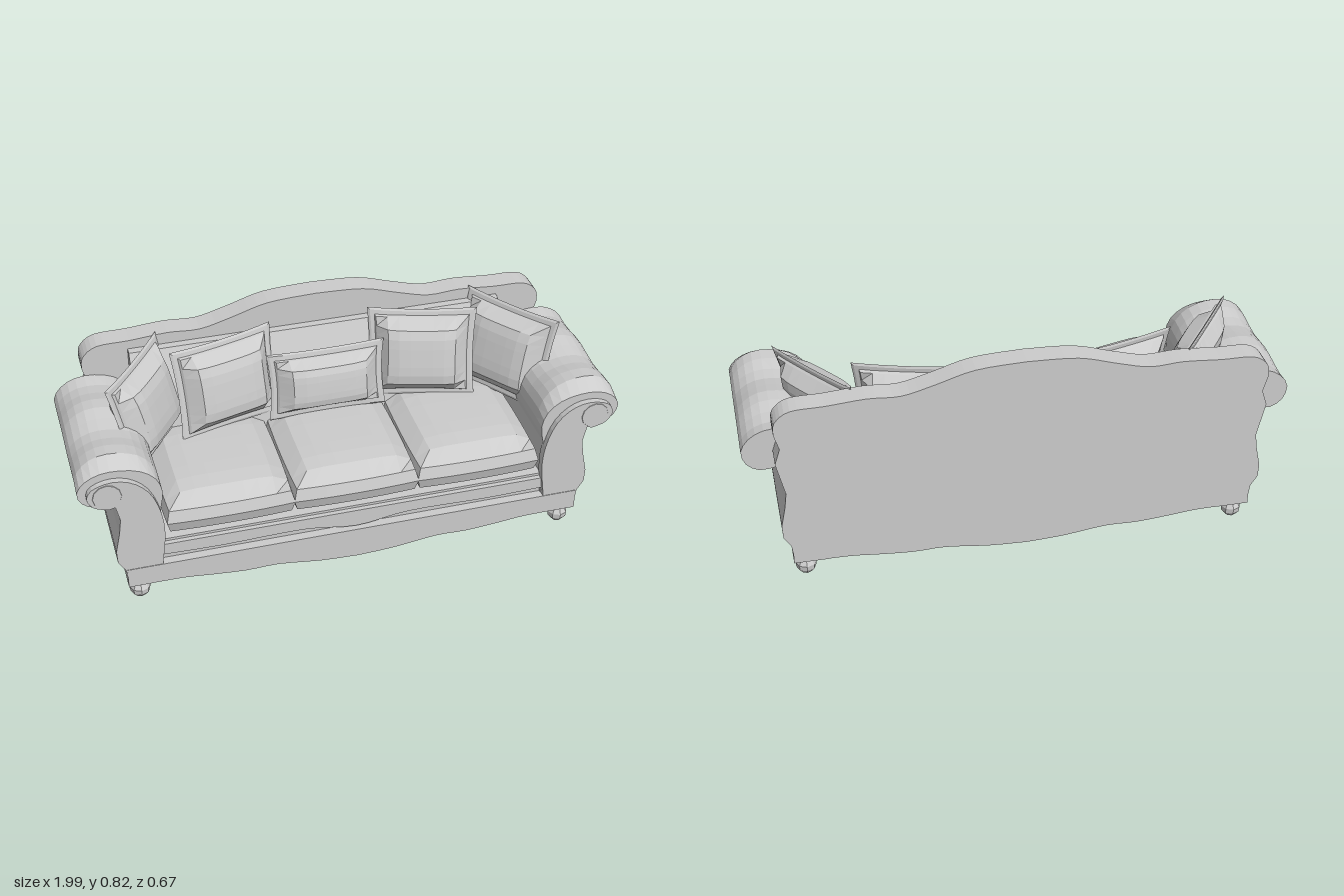
import * as THREE from 'three';

const fabric = new THREE.MeshStandardMaterial({ color: 0xcccccc, flatShading: true, side: THREE.DoubleSide });

function add(parent, name, geometry) {
  const mesh = new THREE.Mesh(geometry, fabric);
  mesh.name = name;
  parent.add(mesh);
  return mesh;
}

// Outline in x/y, extruded from z0 to z1
function slab(points, z0, z1, steps = 1) {
  const shape = new THREE.Shape(points.map(([x, y]) => new THREE.Vector2(x, y)));
  const geometry = new THREE.ExtrudeGeometry(shape, { depth: z1 - z0, steps, bevelEnabled: false });
  return geometry.translate(0, 0, z0);
}

// Smooth run of points through a few guides
function smooth(points, n) {
  return new THREE.SplineCurve(points.map(([x, y]) => new THREE.Vector2(x, y)))
    .getPoints(n).map((p) => [p.x, p.y]);
}

const mirrored = (points) => points.map(([x, y]) => [-x, y]).reverse();

// Stuffed cushion: thickness falls off to the rim, sides pull in or corners stick out
function cushion(w, h, t, rim, pinch) {
  const geometry = new THREE.BoxGeometry(2, 2, 2, 8, 8, 2);
  const p = geometry.attributes.position;
  for (let i = 0; i < p.count; i++) {
    const u = p.getX(i), v = p.getY(i), s = p.getZ(i);
    const puff = rim + (1 - rim) * Math.sqrt((1 - u ** 4) * (1 - v ** 4));
    const inset = 1 - 0.05 * s * s;
    p.setXYZ(i,
      u * w / 2 * inset * (1 - pinch * (1 - v * v)),
      v * h / 2 * inset * (1 - pinch * (1 - u * u)),
      s * t / 2 * puff);
  }
  return geometry;
}

// Throw pillow with a thin flange around its seam
function pillow(parent, name, w, h, t, position, lean, turn) {
  const group = new THREE.Group();
  group.name = name;
  add(group, 'pillowFill', cushion(w, h, t, 0.2, 0.03));
  add(group, 'pillowFlange', cushion(w + 0.05, h + 0.05, 0.015, 0.6, 0.05));
  group.position.set(...position);
  group.rotation.set(lean, turn, 0, 'YXZ');
  parent.add(group);
}

export function createModel() {
  const sofa = new THREE.Group();
  sofa.name = 'sofa';

  // Base with a scalloped lower edge
  const skirt = smooth([[0, 0.035], [0.14, 0.042], [0.3, 0.062], [0.42, 0.06], [0.55, 0.07], [0.66, 0.08], [0.85, 0.08]], 18);
  const sideWave = [[0.85, 0.08], [0.85, 0.12], [0.855, 0.16], [0.88, 0.2], [0.882, 0.25], [0.865, 0.33], [0.857, 0.39], [0.87, 0.45]];
  add(sofa, 'base', slab([...mirrored(skirt), ...skirt.slice(1), [0.85, 0.16], [-0.85, 0.16]], -0.335, 0.335));

  // Seat deck and its draped front edge
  add(sofa, 'seatDeck', new THREE.BoxGeometry(1.5, 0.1, 0.56)).position.set(0, 0.195, 0.02);
  const drape = smooth([[-0.72, 0.19], [-0.5, 0.185], [-0.2, 0.19], [0, 0.165], [0.2, 0.19], [0.5, 0.185], [0.72, 0.19]], 24);
  add(sofa, 'deckDrape', slab([...drape, [0.72, 0.235], [-0.72, 0.235]], 0.29, 0.318));

  // Camel back with wavy sides
  const crest = smooth([[0.882, 0.64], [0.875, 0.69], [0.82, 0.73], [0.7, 0.735], [0.56, 0.745], [0.44, 0.74],
    [0.32, 0.77], [0.18, 0.81], [0, 0.82]], 32);
  const backSide = [...skirt, ...sideWave.slice(1), [0.885, 0.52], [0.865, 0.58], ...crest];
  add(sofa, 'backPanel', slab([...backSide, ...mirrored(backSide).slice(1, -1)], -0.335, -0.25));

  // Sloped padding in front of the back
  const padding = new THREE.BoxGeometry(1.42, 0.5, 0.1, 12, 4, 1);
  const pp = padding.attributes.position;
  for (let i = 0; i < pp.count; i++) {
    const up = pp.getY(i) / 0.5 + 0.5;
    if (pp.getZ(i) > 0) pp.setZ(i, 0.1 - 0.11 * up * up);
  }
  add(sofa, 'backPadding', padding).position.set(0, 0.45, -0.21);

  const rollTop = smooth([[0.71, 0.4], [0.7, 0.47], [0.72, 0.54], [0.77, 0.59], [0.84, 0.612], [0.91, 0.61],
    [0.965, 0.58], [0.995, 0.53], [0.98, 0.475], [0.935, 0.445], [0.88, 0.45]], 20);
  const scrollTop = smooth([[0.72, 0.17], [0.705, 0.3], [0.715, 0.4], [0.75, 0.49], [0.81, 0.545], [0.88, 0.56],
    [0.945, 0.54], [0.965, 0.5], [0.94, 0.46], [0.89, 0.445]], 24);

  for (const s of [-1, 1]) {
    const side = s > 0 ? 'left' : 'right';
    const flip = (points) => points.map(([x, y]) => [s * x, y]);

    // Wavy arm wall
    add(sofa, side + 'ArmWall', slab(flip([[0.72, 0.08], ...sideWave, [0.71, 0.45]]), -0.335, 0.31));

    // Rolled arm top, gently lumpy along its length
    const roll = slab(flip(rollTop), -0.25, 0.31, 10);
    const rp = roll.attributes.position;
    for (let i = 0; i < rp.count; i++) {
      const z = rp.getZ(i), y = rp.getY(i);
      const lump = 0.01 * Math.cos((z - 0.24) * 22) - (z > 0.3 ? 0.025 : 0);
      rp.setY(i, y + lump * Math.max(0, (y - 0.45) / 0.16));
    }
    add(sofa, side + 'ArmRoll', roll);

    // Scrolled front face of the arm and its raised disc
    add(sofa, side + 'ArmFront', slab(flip([[0.72, 0.08], ...sideWave, ...[...scrollTop].reverse()]), 0.3, 0.333));
    const disc = add(sofa, side + 'ArmScroll', new THREE.CylinderGeometry(0.05, 0.06, 0.02, 12));
    disc.rotation.x = Math.PI / 2;
    disc.position.set(s * 0.895, 0.5, 0.325);

    // Bun feet
    for (const z of [0.285, -0.28]) {
      const profile = [[0, 0], [0.02, 0], [0.036, 0.02], [0.038, 0.04], [0.025, 0.062], [0.035, 0.085]];
      add(sofa, side + (z > 0 ? 'FrontFoot' : 'BackFoot'),
        new THREE.LatheGeometry(profile.map(([x, y]) => new THREE.Vector2(x, y)), 8)).position.set(s * 0.805, 0, z);
    }

    // Paired throw pillows, turned towards the middle
    pillow(sofa, side + 'BackPillow', 0.36, 0.31, 0.15, [s * 0.375, 0.575, -0.125], -0.2, -s * 0.27);
    pillow(sofa, side + 'CornerPillow', 0.36, 0.32, 0.14, [s * 0.685, 0.57, -0.07], -0.25, -s * 0.95);
  }

  // Seat cushions
  for (const [i, x] of [-0.462, 0, 0.462].entries()) {
    const seat = add(sofa, ['right', 'middle', 'left'][i] + 'SeatCushion', cushion(0.465, 0.53, 0.18, 0.5, -0.03));
    seat.rotation.x = -Math.PI / 2;
    seat.position.set(x, 0.325, 0.055);
  }

  // Low middle pillow
  pillow(sofa, 'middlePillow', 0.4, 0.22, 0.14, [0, 0.535, -0.1], -0.15, 0);

  return sofa;
}
